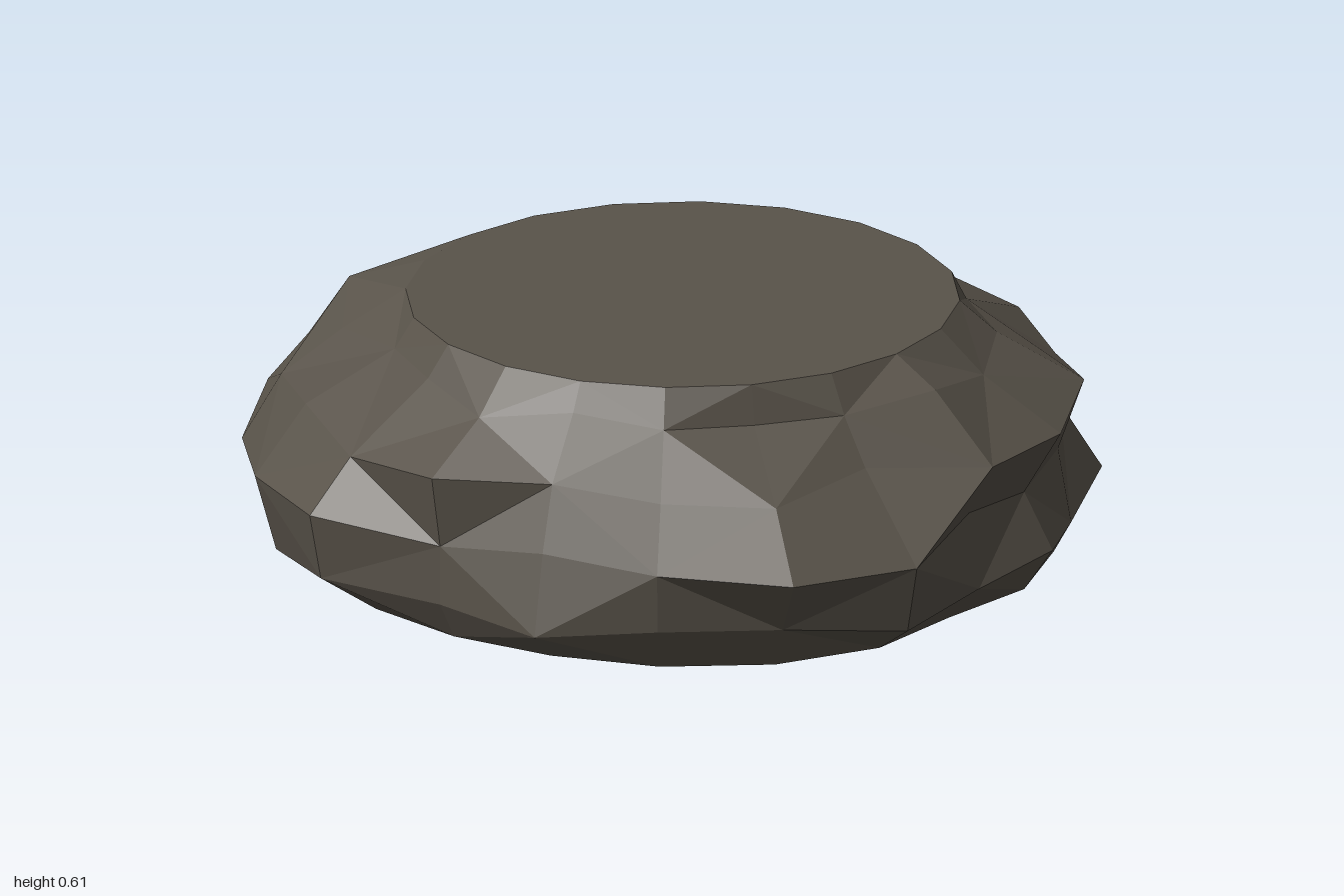
import * as THREE from 'three';

const SIDES = 20;
const CENTRE = [0.01, -0.04];

// Horizontal cross-sections, bottom to top. Radii run from the front (+z) towards +x.
const RINGS = [
  { y: 0, wobble: 0, r: [0.85, 0.84, 0.79, 0.84, 0.85, 0.82, 0.81, 0.79, 0.8, 0.8, 0.81, 0.82, 0.81, 0.82, 0.82, 0.81, 0.83, 0.82, 0.82, 0.84] },
  { y: 0.09, wobble: 0.018, r: [0.92, 0.96, 0.88, 0.91, 0.89, 0.99, 0.88, 0.83, 0.86, 0.9, 0.91, 0.93, 0.89, 0.92, 0.94, 0.96, 0.98, 0.87, 0.92, 0.91] },
  { y: 0.25, wobble: 0.018, r: [1.02, 1.0, 0.85, 0.84, 0.86, 0.89, 0.9, 0.84, 0.92, 0.92, 0.92, 1.0, 0.9, 1.02, 1.01, 1.01, 1.01, 0.87, 0.87, 0.93] },
  { y: 0.4, wobble: 0.02, r: [0.86, 0.78, 0.92, 0.93, 0.92, 0.88, 0.91, 0.78, 0.86, 0.84, 0.82, 0.84, 0.81, 0.92, 0.92, 0.89, 0.9, 0.9, 0.81, 0.8] },
  { y: 0.525, wobble: -0.02, r: [0.66, 0.69, 0.75, 0.74, 0.72, 0.67, 0.7, 0.7, 0.72, 0.78, 0.75, 0.74, 0.75, 0.82, 0.78, 0.68, 0.69, 0.73, 0.68, 0.69] },
  { y: 0.605, wobble: 0, r: Array(SIDES).fill(0.635) },
];

function ringPoint(level, i) {
  const ring = RINGS[level];
  const k = (i + SIDES) % SIDES;
  const a = (k / SIDES) * Math.PI * 2;
  return [
    CENTRE[0] + Math.sin(a) * ring.r[k],
    ring.y + ring.wobble * Math.sin(k * 2.3 + level * 1.7),
    CENTRE[1] + Math.cos(a) * ring.r[k],
  ];
}

function makeMesh(name, triangles, material) {
  const geometry = new THREE.BufferGeometry();
  geometry.setAttribute('position', new THREE.Float32BufferAttribute(triangles.flat(2), 3));
  geometry.computeVertexNormals();
  const mesh = new THREE.Mesh(geometry, material);
  mesh.name = name;
  return mesh;
}

export function createModel() {
  const group = new THREE.Group();
  group.name = 'flatRock';
  const stone = new THREE.MeshStandardMaterial({ color: 0x59534a, flatShading: true });
  const top = RINGS.length - 1;

  // Rugged sides, with the quad diagonals alternating for a chipped look
  const sides = [];
  for (let l = 0; l < top; l++) {
    for (let i = 0; i < SIDES; i++) {
      const a = ringPoint(l, i), b = ringPoint(l, i + 1);
      const c = ringPoint(l + 1, i + 1), d = ringPoint(l + 1, i);
      if ((i + l) % 2) sides.push([a, b, c], [a, c, d]);
      else sides.push([a, b, d], [b, c, d]);
    }
  }
  group.add(makeMesh('rockSides', sides, stone));

  // Flat top and underside
  const topFace = [], bottomFace = [];
  for (let i = 0; i < SIDES; i++) {
    topFace.push([[CENTRE[0], RINGS[top].y, CENTRE[1]], ringPoint(top, i), ringPoint(top, i + 1)]);
    bottomFace.push([[CENTRE[0], 0, CENTRE[1]], ringPoint(0, i + 1), ringPoint(0, i)]);
  }
  group.add(makeMesh('flatTop', topFace, stone), makeMesh('flatBase', bottomFace, stone));
  return group;
}
